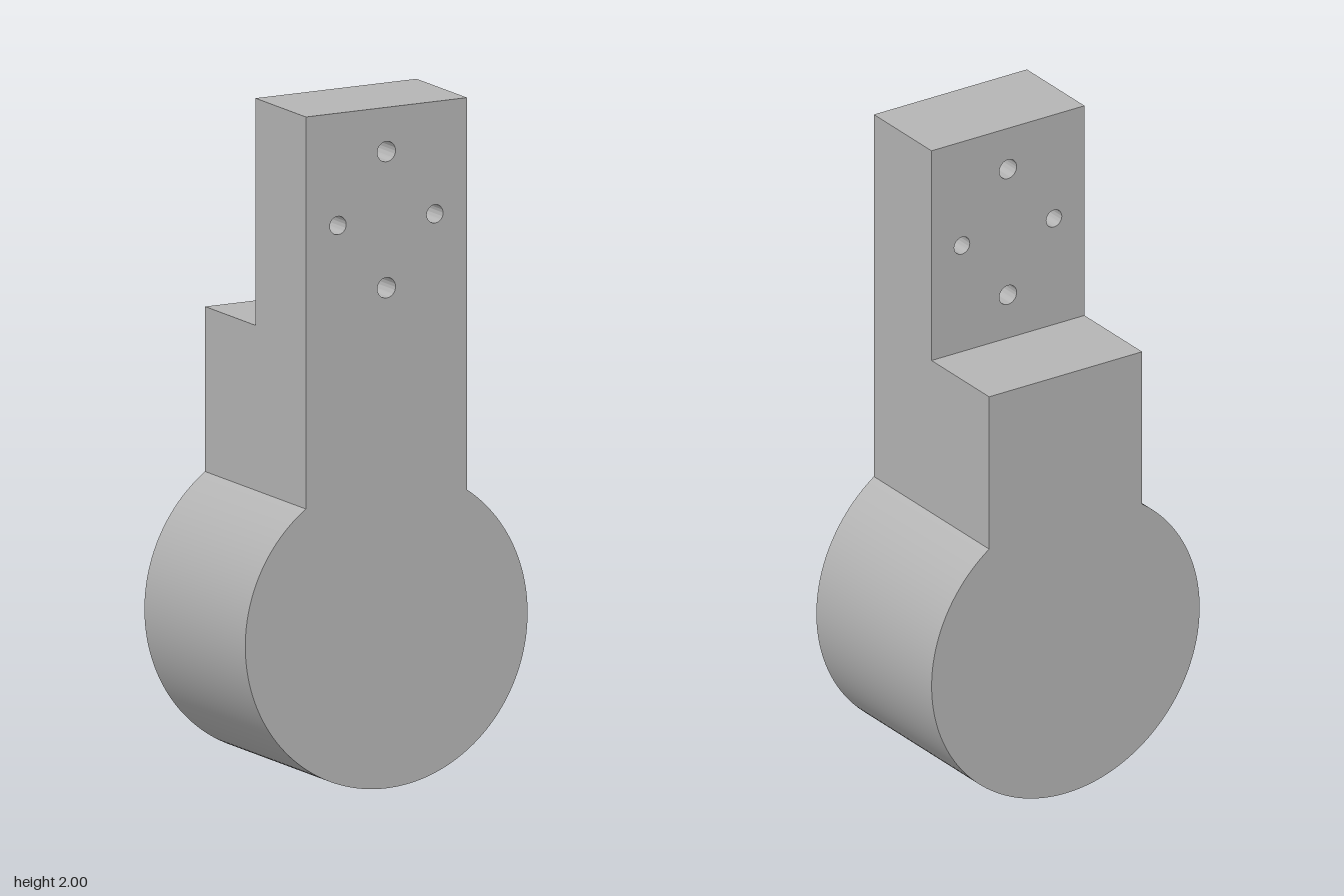
import * as THREE from 'three';
import { toCreasedNormals } from 'three/addons/utils/BufferGeometryUtils.js';

const RADIUS = 0.466;      // round end
const HALF_WIDTH = 0.266;  // neck and tab
const HALF_DEPTH = 0.293;
const STEP_Y = 1.333;      // height of the rear step
const TOP_Y = 2;

export function createModel() {
  const group = new THREE.Group();
  const grey = new THREE.MeshStandardMaterial({ color: 0xb4b4b4 });
  grey.name = 'plain grey';

  const addExtrusion = (name, shape, zStart, depth) => {
    const geometry = new THREE.ExtrudeGeometry(shape, { depth, bevelEnabled: false, curveSegments: 72 });
    geometry.translate(0, 0, zStart);
    const mesh = new THREE.Mesh(toCreasedNormals(geometry, 0.5), grey);
    mesh.name = name;
    group.add(mesh);
  };

  // Round end and neck, full depth
  const shoulder = Math.acos(HALF_WIDTH / RADIUS);
  const body = new THREE.Shape();
  body.moveTo(HALF_WIDTH, STEP_Y);
  body.lineTo(-HALF_WIDTH, STEP_Y);
  body.absarc(0, RADIUS, RADIUS, Math.PI - shoulder, Math.PI * 2 + shoulder, false);
  body.closePath();
  addExtrusion('roundEndAndNeck', body, -HALF_DEPTH, HALF_DEPTH * 2);

  // Upper tab, front half only, with four through holes
  const tab = new THREE.Shape();
  tab.moveTo(-HALF_WIDTH, STEP_Y);
  tab.lineTo(HALF_WIDTH, STEP_Y);
  tab.lineTo(HALF_WIDTH, TOP_Y);
  tab.lineTo(-HALF_WIDTH, TOP_Y);
  tab.closePath();
  for (const [x, y, r] of [[0, 1.87, 0.03], [0, 1.47, 0.03], [-0.16, 1.67, 0.027], [0.16, 1.67, 0.027]]) {
    const hole = new THREE.Path();
    hole.absarc(x, y, r, 0, Math.PI * 2, true);
    tab.holes.push(hole);
  }
  addExtrusion('mountingTab', tab, 0, HALF_DEPTH);

  return group;
}
